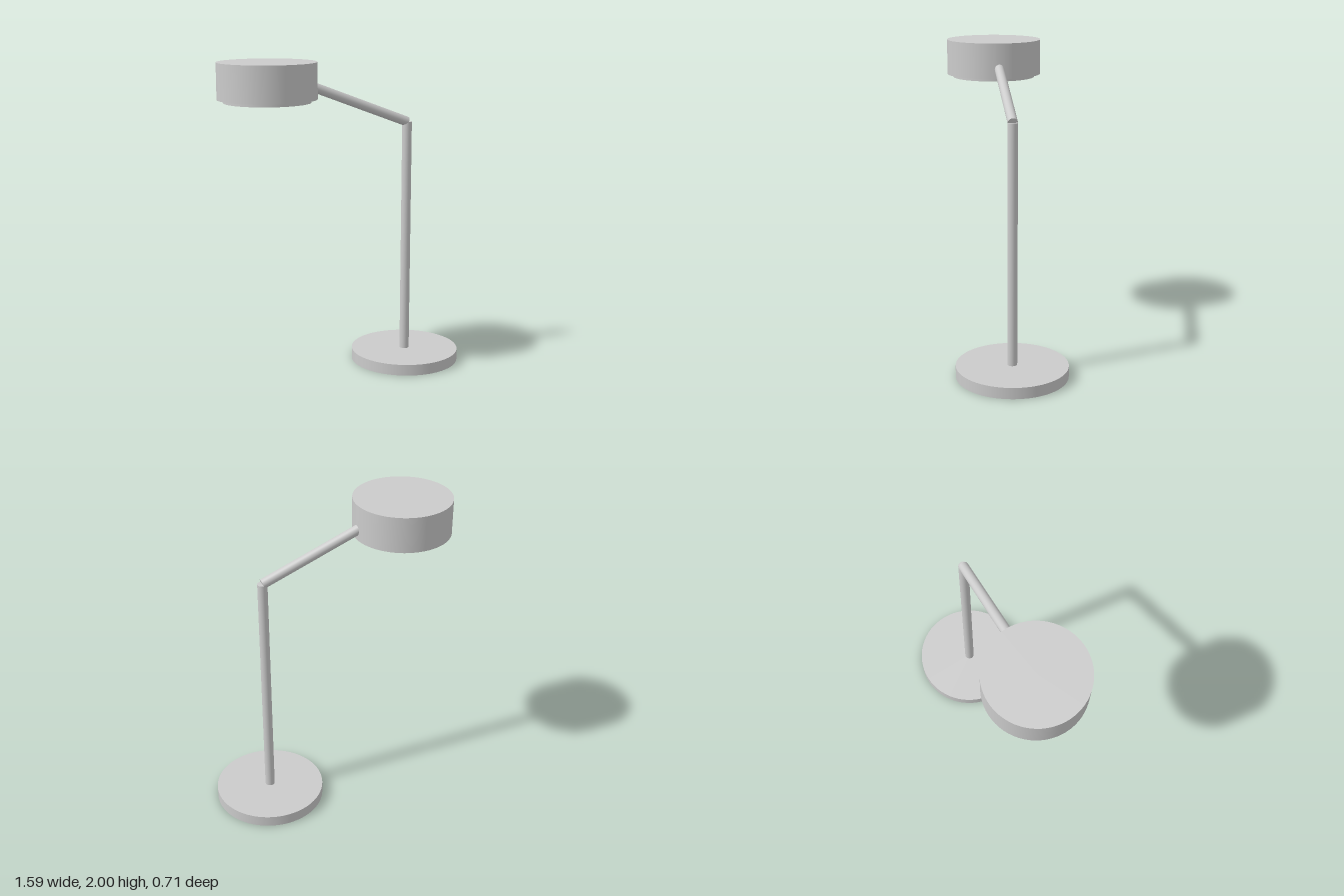
import * as THREE from 'three';

const UP = new THREE.Vector3(0, 1, 0);

export function createModel() {
  const lamp = new THREE.Group();
  lamp.name = 'deskLamp';
  const material = new THREE.MeshStandardMaterial({ color: 0xcccccc });

  // Solid round bar or disc running between two points
  function rod(name, radius, from, to, sides) {
    const a = new THREE.Vector3(...from);
    const b = new THREE.Vector3(...to);
    const axis = b.clone().sub(a);
    const mesh = new THREE.Mesh(new THREE.CylinderGeometry(radius, radius, axis.length(), sides), material);
    mesh.name = name;
    mesh.position.copy(a).add(b).multiplyScalar(0.5);
    mesh.quaternion.setFromUnitVectors(UP, axis.normalize());
    lamp.add(mesh);
  }

  const poleX = 0.438, headX = -0.488;

  // Base disc and upright pole
  rod('base', 0.353, [poleX, 0, 0], [poleX, 0.072, 0], 64);
  rod('pole', 0.031, [poleX, 0.072, 0], [poleX, 1.598, 0], 32);

  // Sloping arm, its inner end buried in the shade
  rod('arm', 0.031, [poleX, 1.598, 0], [-0.22, 1.849, 0], 32);

  // Drum shade with a slightly narrower diffuser below
  rod('shade', 0.309, [headX, 1.773, 0], [headX, 2, 0], 64);
  rod('diffuser', 0.271, [headX, 1.753, 0], [headX, 1.775, 0], 64);

  return lamp;
}
